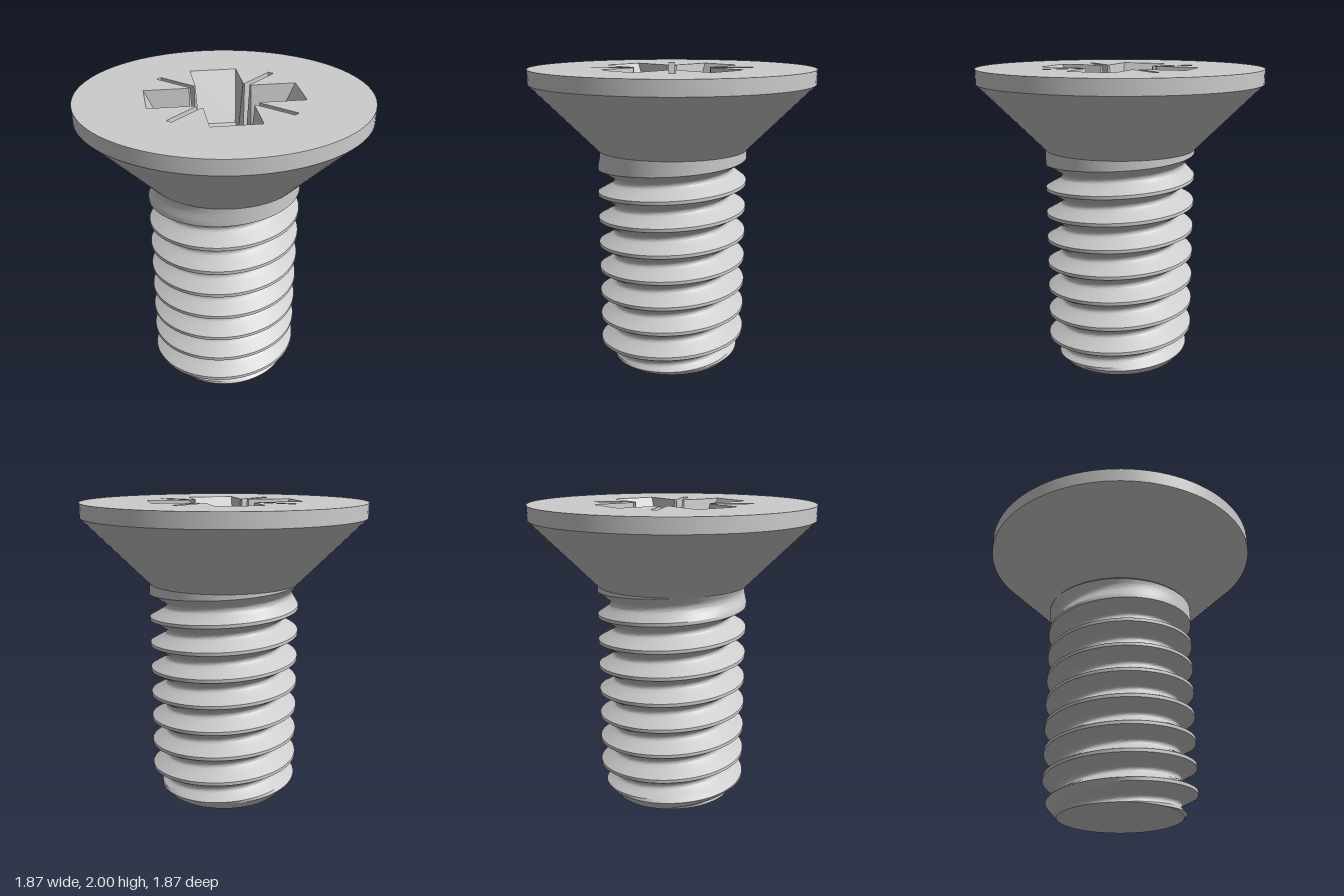
import * as THREE from 'three';
import { toCreasedNormals } from 'three/addons/utils/BufferGeometryUtils.js';

const SEG = 96;
const TAU = Math.PI * 2;
const PITCH = 0.175, GROOVE_Y = 0.0955; // groove height at angle 0
const SHANK_R = 0.5, SHANK_TOP = 1.47;
const HEAD_R = 0.935, TOP = 2, FLOOR = 1.68;

const material = new THREE.MeshStandardMaterial({ color: 0xcccccc });

function add(group, name, geometry) {
  const mesh = new THREE.Mesh(geometry, material);
  mesh.name = name;
  group.add(mesh);
  return mesh;
}

function surface(positions) {
  const g = new THREE.BufferGeometry();
  g.setAttribute('position', new THREE.Float32BufferAttribute(positions, 3));
  return g;
}

const lathe = (pts) => toCreasedNormals(
  new THREE.LatheGeometry(pts.map(([r, y]) => new THREE.Vector2(r, y)), SEG), 0.5);

// Radius of the threaded shank: 60 degree flanks, rounded root,
// groove fading out under the head and a chamfer at the tip
function shankRadius(theta, y) {
  const t = (y - GROOVE_Y) / PITCH + theta / TAU;
  const d = Math.abs(t - Math.round(t));
  const centreY = y - (t - Math.round(t)) * PITCH;
  let depth = 0;
  if (d < 0.125) depth = 0.6134 - 0.144 + Math.sqrt(0.144 ** 2 - d * d);
  else if (d < 0.4375) depth = (0.4375 - d) * Math.sqrt(3);
  const fade = THREE.MathUtils.clamp((1.45 - centreY) / 0.13, 0, 1);
  return Math.min(SHANK_R - depth * PITCH * fade, 0.405 + 0.9 * y);
}

// Rows follow the helix so that crests and roots stay crisp
function threadGeometry() {
  const half = [0.0493, 0.0926, 0.125, 0.23, 0.33, 0.4375];
  const offsets = [...half.map((v) => -v).reverse(), 0, ...half];
  const rows = [];
  for (let n = -1; n <= 9; n++) for (const o of offsets) rows.push(GROOVE_Y + (n + o) * PITCH);
  const point = (i, j) => {
    const theta = (i / SEG) * TAU;
    const y = THREE.MathUtils.clamp(rows[j] - (PITCH * i) / SEG, 0, SHANK_TOP);
    const r = shankRadius(theta, y);
    return [r * Math.cos(theta), y, r * Math.sin(theta)];
  };
  const pos = [];
  const tri = (a, b, c) => {
    if (a[1] === b[1] && b[1] === c[1]) return; // trimmed away at the ends
    pos.push(...a, ...b, ...c);
  };
  for (let j = 0; j < rows.length - 1; j++) {
    for (let i = 0; i < SEG; i++) {
      const a = point(i, j), b = point(i + 1, j), c = point(i + 1, j + 1), d = point(i, j + 1);
      tri(a, d, b);
      tri(b, d, c);
    }
  }
  return toCreasedNormals(surface(pos), 0.5);
}

// Cross with four thin diagonal slots: arm length, half width, inner corner,
// slot end radius and slot half width
function recessOutline(length, w, corner, slotEnd, h) {
  const s = Math.SQRT1_2;
  const diag = (a, b) => [(a - b) * s, (a + b) * s];
  const start = (w + corner) * s;
  const quarter = [
    [length, -w], [length, w], [corner, w],
    diag(start, -h), diag(slotEnd, -h), diag(slotEnd, h), diag(start, h), [w, corner],
  ];
  const pts = [];
  for (let k = 0; k < 4; k++) {
    for (const [x, y] of quarter) {
      pts.push(new THREE.Vector2(x, y).rotateAround(new THREE.Vector2(), (k * Math.PI) / 2));
    }
  }
  return pts;
}

function wallGeometry(upper, lower) {
  const pos = [];
  upper.forEach((t0, i) => {
    const k = (i + 1) % upper.length;
    const t1 = upper[k], b0 = lower[i], b1 = lower[k];
    pos.push(
      b0.x, FLOOR, -b0.y, t1.x, TOP, -t1.y, b1.x, FLOOR, -b1.y,
      b0.x, FLOOR, -b0.y, t0.x, TOP, -t0.y, t1.x, TOP, -t1.y);
  });
  const g = surface(pos);
  g.computeVertexNormals();
  return g;
}

export function createModel() {
  const screw = new THREE.Group();
  screw.name = 'countersunkScrew';

  // Threaded shank and its flat tip
  add(screw, 'threadedShank', threadGeometry());
  const tip = [];
  for (let i = 0; i < SEG; i++) {
    const a = (i / SEG) * TAU, r = shankRadius(a, 0);
    tip.push(new THREE.Vector2(r * Math.cos(a), r * Math.sin(a)));
  }
  add(screw, 'tipFace', new THREE.ShapeGeometry(new THREE.Shape(tip)).rotateX(Math.PI / 2));

  // Countersunk head with a short straight rim
  add(screw, 'headCone', lathe([[0.4, SHANK_TOP], [SHANK_R, SHANK_TOP], [HEAD_R, 1.905], [HEAD_R, TOP]]));

  // Flat top, open over the recess
  const upper = recessOutline(0.49, 0.155, 0.2, 0.53, 0.02);
  const lower = recessOutline(0.33, 0.128, 0.2, 0.47, 0.012);
  const face = new THREE.Shape().absarc(0, 0, HEAD_R, 0, TAU);
  face.holes.push(new THREE.Path(upper));
  add(screw, 'headTop', new THREE.ShapeGeometry(face, SEG / 2).rotateX(-Math.PI / 2)).position.y = TOP;

  // Driver recess: sloped walls, floor and conical centre
  const recess = new THREE.Group();
  recess.name = 'driverRecess';
  screw.add(recess);
  add(recess, 'recessWalls', wallGeometry(upper, lower));
  const floor = new THREE.Shape(lower);
  floor.holes.push(new THREE.Path().absarc(0, 0, 0.225, 0, TAU, true));
  add(recess, 'recessFloor', new THREE.ShapeGeometry(floor, SEG / 2).rotateX(-Math.PI / 2)).position.y = FLOOR;
  add(recess, 'recessCone', lathe([[0.225, FLOOR], [0, FLOOR - 0.11]]));

  return screw;
}
